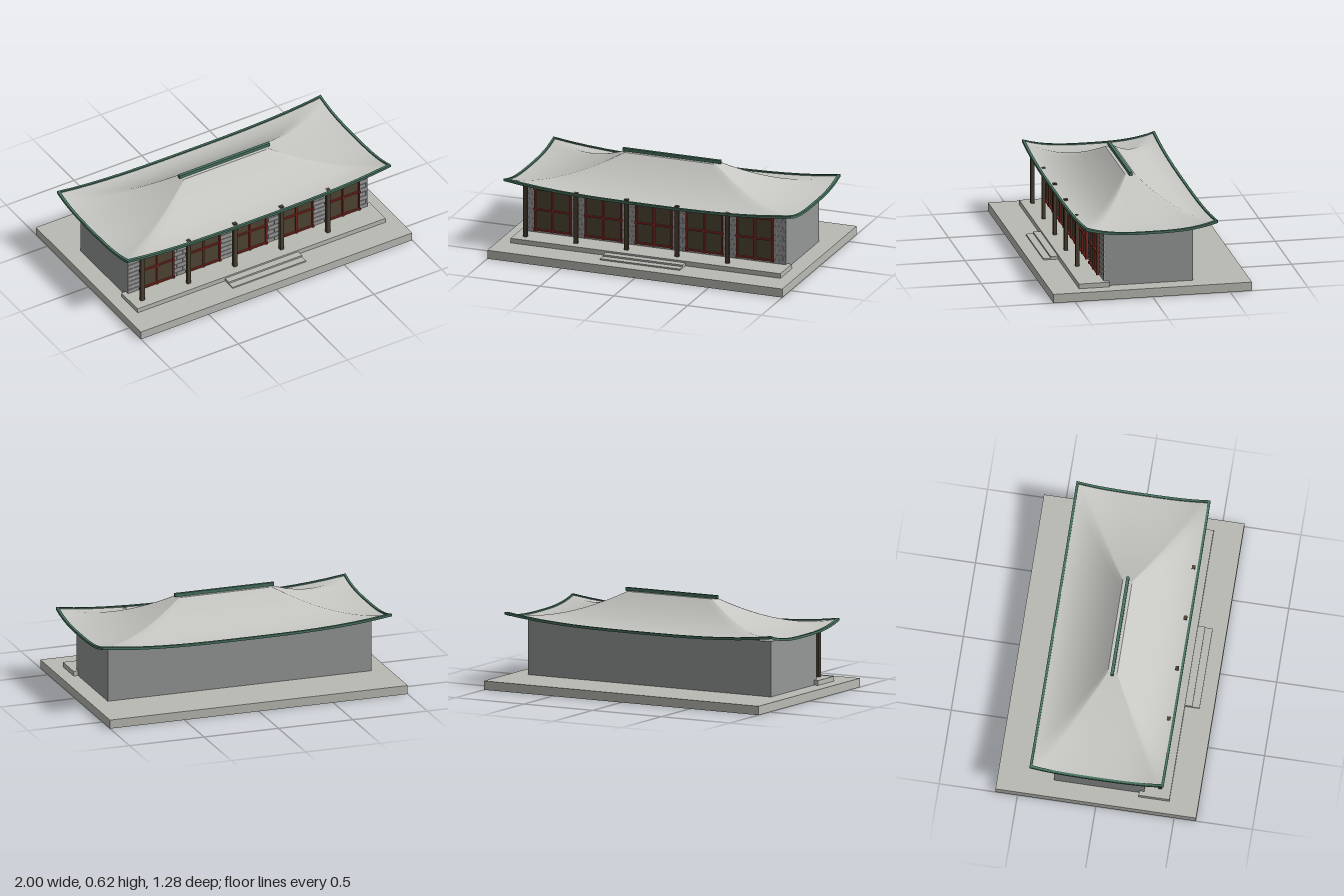
import * as THREE from 'three';
import { mergeGeometries } from 'three/addons/utils/BufferGeometryUtils.js';

const mat = (name, color, side = THREE.FrontSide) => {
  const m = new THREE.MeshStandardMaterial({ color, side });
  m.name = name;
  return m;
};

// Box given by its minimum and maximum corners
const span = (x0, x1, y0, y1, z0, z1) =>
  new THREE.BoxGeometry(x1 - x0, y1 - y0, z1 - z0)
    .translate((x0 + x1) / 2, (y0 + y1) / 2, (z0 + z1) / 2);

const SEG = 16; // steps along each roof side
const RIDGE_X = 0.31, RIDGE_Z = 0.03, EAVE_X = 0.965, EAVE_Z = 0.42;

// Point on the roof: t runs from ridge (0) to eave (1), i runs round the four sides
function roofPoint(t, i) {
  const hx = THREE.MathUtils.lerp(RIDGE_X, EAVE_X, t);
  const hz = THREE.MathUtils.lerp(RIDGE_Z, EAVE_Z, t);
  const side = Math.floor(i / SEG) % 4;
  const s = ((i % SEG) / SEG) * 2 - 1;
  const [x, z] = [[s, 1], [1, -s], [-s, -1], [-1, s]][side];
  const lift = 0.047 * Math.pow(Math.abs(s), 3) * Math.pow(t, 3);
  return new THREE.Vector3(x * hx, 0.415 + 0.185 * Math.pow(1 - t, 1.9) + lift, z * hz);
}

// Skin of quads through rings of points
function loft(rings, closeRings = false) {
  const n = rings[0].length, pos = [], idx = [];
  rings.forEach(r => r.forEach(p => pos.push(p.x, p.y, p.z)));
  const last = closeRings ? rings.length : rings.length - 1;
  for (let j = 0; j < last; j++) {
    const k = (j + 1) % rings.length;
    for (let i = 0; i < n; i++) {
      const i2 = (i + 1) % n;
      const a = j * n + i, b = j * n + i2, c = k * n + i, d = k * n + i2;
      idx.push(a, c, d, a, d, b);
    }
  }
  const g = new THREE.BufferGeometry();
  g.setAttribute('position', new THREE.Float32BufferAttribute(pos, 3));
  g.setIndex(idx);
  g.computeVertexNormals();
  return g;
}

const ring = t => Array.from({ length: SEG * 4 }, (_, i) => roofPoint(t, i));

// Square section swept round the eave
function eaveTrim() {
  const w = 0.008, h = 0.008;
  const rings = [[-w, h], [w, h], [w, -h], [-w, -h]].map(([out, up]) =>
    ring(1).map(p => new THREE.Vector3(
      p.x * (1 + out / EAVE_X), p.y + up, p.z * (1 + out / EAVE_Z))));
  const g = loft(rings, true).toNonIndexed();
  g.computeVertexNormals();
  return g;
}

// Staggered courses of bricks on the front wall
function brickCourses() {
  const parts = [], rows = 10, y0 = 0.09, h = 0.032, len = 0.09, gap = 0.005;
  for (let r = 0; r < rows; r++) {
    const y = y0 + r * h;
    for (let x = -0.885 - (r % 2) * len / 2; x < 0.88; x += len) {
      const a = Math.max(x, -0.885), b = Math.min(x + len - gap, 0.883);
      if (b - a > 0.01) parts.push(span(a, b, y, y + h - gap, 0.286, 0.292));
    }
  }
  return mergeGeometries(parts);
}

export function createModel() {
  const model = new THREE.Group();
  model.name = 'hall';
  const stone = mat('pale stone', 0xb9bab3);
  const wall = mat('grey wall', 0x959796);
  const mortar = mat('mortar', 0xb4b6b3);
  const tile = mat('roof grey', 0xc6c7c2, THREE.DoubleSide);
  const green = mat('green trim', 0x47725f, THREE.DoubleSide);
  const wood = mat('dark wood', 0x4b4131);
  const panelWood = mat('panel brown', 0x4e4534);
  const red = mat('red lattice', 0x8f2c24);
  const add = (name, geo, material, parent = model) => {
    const m = new THREE.Mesh(geo, material);
    m.name = name;
    parent.add(m);
    return m;
  };

  // Platform, terrace and steps
  add('platform', span(-1, 1, 0, 0.057, -0.64, 0.64), stone);
  add('terrace', span(-0.915, 0.915, 0.057, 0.088, 0.26, 0.457), stone);
  add('upperStep', span(-0.27, 0.27, 0.057, 0.077, 0.457, 0.503), stone);
  add('lowerStep', span(-0.27, 0.27, 0.057, 0.066, 0.457, 0.55), stone);

  // Walls and brick front
  add('walls', span(-0.885, 0.885, 0.057, 0.41, -0.285, 0.285), wall);
  add('mortar', span(-0.885, 0.883, 0.088, 0.41, 0.285, 0.288), mortar);
  add('bricks', brickCourses(), wall);

  // Five bays, each with a column on its left edge and a lattice panel
  for (let i = 0; i < 5; i++) {
    const x = (i - 2) * 0.3425;
    add('column', span(x - 0.168, x - 0.142, 0.088, 0.426, 0.377, 0.4), wood);

    const bay = new THREE.Group();
    bay.name = 'latticePanel';
    bay.position.set(x, 0.25, 0);
    model.add(bay);
    const W = 0.121, H = 0.136, b = 0.005;
    add('panel', span(-W, W, -H, H, 0.301, 0.309), panelWood, bay);
    const bars = [];
    for (const k of [-1, 0, 1]) {
      bars.push(span(k * W - b, k * W + b, -H, H, 0.308, 0.319));
      bars.push(span(-W, W, k * H - b, k * H + b, 0.308, 0.319));
      for (const j of [-1, 0, 1])
        bars.push(new THREE.BoxGeometry(0.015, 0.015, 0.015).translate(k * W, j * H, 0.315));
    }
    add('lattice', mergeGeometries(bars), red, bay);
  }

  // Sweeping hipped roof with upturned corners
  const steps = 14;
  add('roof', loft(Array.from({ length: steps + 1 }, (_, j) => ring(j / steps))), tile);
  add('roofCap', span(-RIDGE_X, RIDGE_X, 0.594, 0.6, -RIDGE_Z, RIDGE_Z), tile);
  add('eaveTrim', eaveTrim(), green);
  add('ridgeBeam', span(-0.333, 0.333, 0.599, 0.621, -0.01, 0.01), green);
  return model;
}
